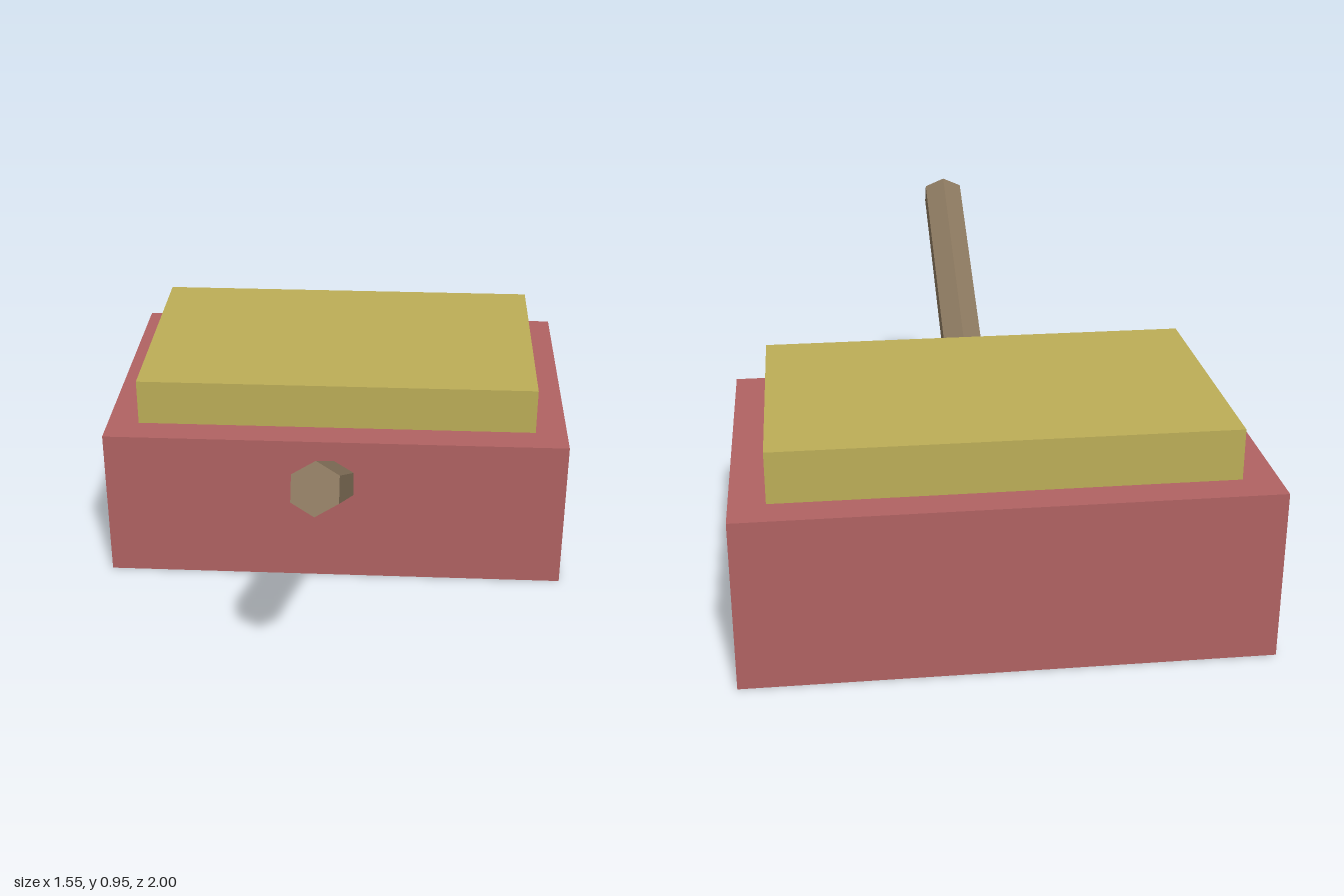
import * as THREE from 'three';

export function createModel() {
  const model = new THREE.Group();
  const paint = (name, color) => {
    const m = new THREE.MeshStandardMaterial({ color });
    m.name = name;
    return m;
  };
  const red = paint('dusty red', 0xb06262);
  const yellow = paint('mustard yellow', 0xbcad57);
  const brown = paint('wood brown', 0x8a775e);

  // Box given by its lower and upper corners
  const block = (name, material, min, max) => {
    const size = max.map((v, i) => v - min[i]);
    const mesh = new THREE.Mesh(new THREE.BoxGeometry(...size), material);
    mesh.position.set(...max.map((v, i) => (v + min[i]) / 2));
    mesh.name = name;
    model.add(mesh);
  };
  block('body', red, [-0.775, 0, -1], [0.775, 0.52, 0.035]);
  block('topSlab', yellow, [-0.67, 0.52, -0.895], [0.67, 0.675, -0.07]);

  // Hexagonal handle sloping up and forward from the front face
  const start = new THREE.Vector3(0, 0.365, 0.037);
  const end = new THREE.Vector3(0, 0.88, 0.963);
  const axis = end.clone().sub(start);
  const geometry = new THREE.CylinderGeometry(0.075, 0.075, axis.length(), 6).toNonIndexed();
  geometry.computeVertexNormals(); // flat facets
  const handle = new THREE.Mesh(geometry, brown);
  handle.position.copy(start).add(end).multiplyScalar(0.5);
  handle.rotation.x = Math.atan2(axis.z, axis.y);
  handle.name = 'handle';
  model.add(handle);

  return model;
}
